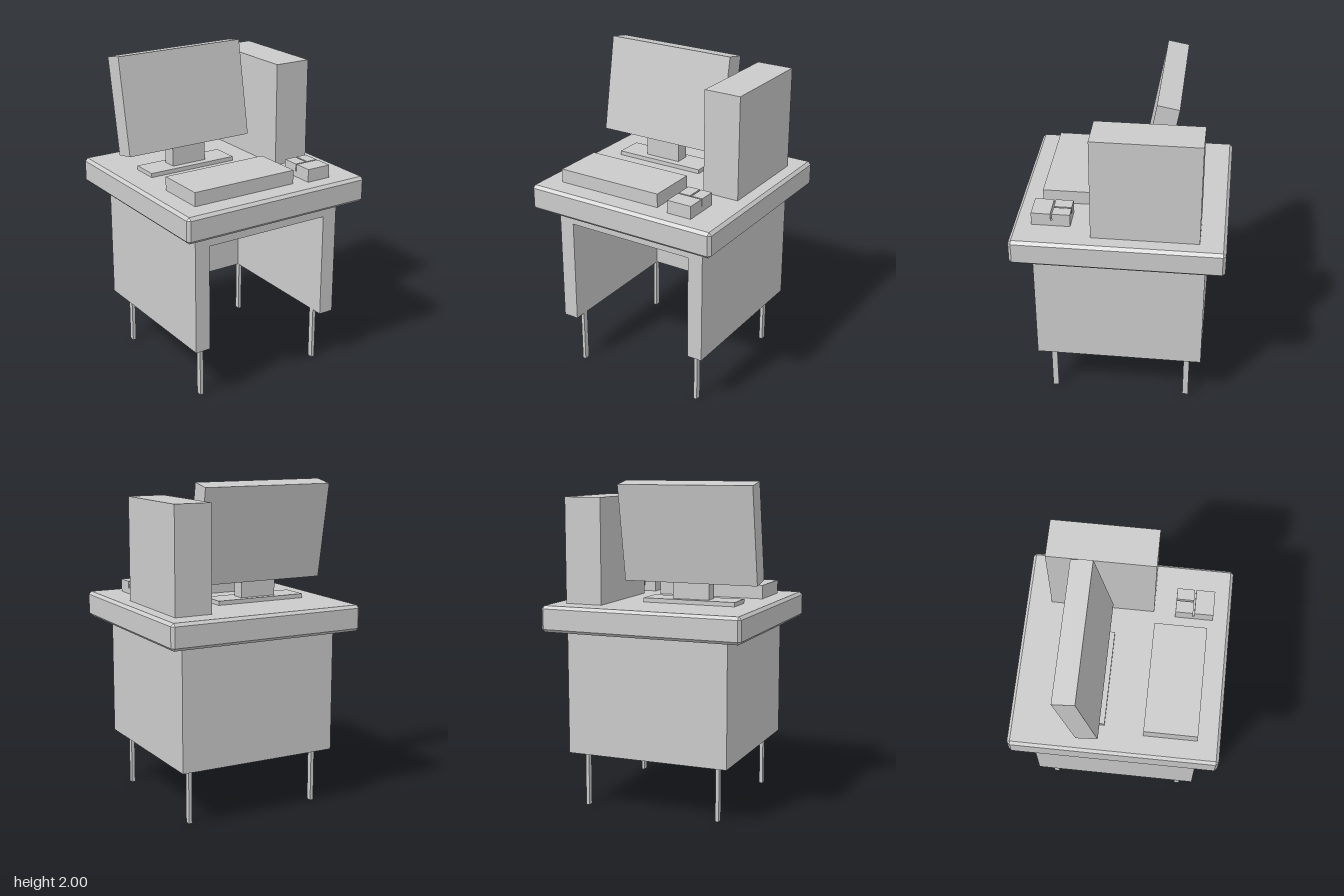
import * as THREE from 'three';
import { ConvexGeometry } from 'three/addons/geometries/ConvexGeometry.js';

const material = new THREE.MeshStandardMaterial({ color: 0xcccccc, flatShading: true });
const TOP = 1.265; // height of the work surface

function add(parent, name, geometry) {
  const mesh = new THREE.Mesh(geometry, material);
  mesh.name = name;
  parent.add(mesh);
  return mesh;
}

// Box given by its extents along each axis
function box(parent, name, [x0, x1], [y0, y1], [z0, z1]) {
  const mesh = add(parent, name, new THREE.BoxGeometry(x1 - x0, y1 - y0, z1 - z0));
  mesh.position.set((x0 + x1) / 2, (y0 + y1) / 2, (z0 + z1) / 2);
  return mesh;
}

function subgroup(parent, name) {
  const group = new THREE.Group();
  group.name = name;
  parent.add(group);
  return group;
}

// Box with every edge cut by a flat chamfer
function chamferedBox(w, h, d, c) {
  const points = [];
  const [x, y, z] = [w / 2, h / 2, d / 2];
  for (const sx of [-1, 1]) for (const sy of [-1, 1]) for (const sz of [-1, 1]) {
    points.push(
      new THREE.Vector3(sx * x, sy * (y - c), sz * (z - c)),
      new THREE.Vector3(sx * (x - c), sy * y, sz * (z - c)),
      new THREE.Vector3(sx * (x - c), sy * (y - c), sz * z));
  }
  return new ConvexGeometry(points);
}

export function createModel() {
  const model = new THREE.Group();
  model.name = 'computerDesk';

  // Desk: chamfered top, cabinet with an open knee space, thin legs
  const desk = subgroup(model, 'desk');
  add(desk, 'deskTop', chamferedBox(1.26, 0.16, 1.26, 0.018)).position.y = TOP - 0.08;

  const arch = new THREE.Shape([
    [-0.512, 0.345], [-0.415, 0.345], [-0.415, 1.01], [0.415, 1.01],
    [0.415, 0.345], [0.512, 0.345], [0.512, 1.106], [-0.512, 1.106],
  ].map(([x, y]) => new THREE.Vector2(x, y)));
  const cabinet = new THREE.ExtrudeGeometry(arch, { depth: 0.922, bevelEnabled: false });
  add(desk, 'cabinet', cabinet).position.z = -0.41;
  box(desk, 'backPanel', [-0.512, 0.512], [0.345, 1.106], [-0.512, -0.41]);

  for (const sx of [-1, 1]) for (const sz of [-1, 1]) {
    const leg = box(desk, 'leg', [-0.011, 0.011], [0, 0.36], [-0.018, 0.018]);
    leg.position.x = sx * 0.428;
    leg.position.z = sz * 0.421;
  }

  // Monitor: leaning screen on a neck and flat foot
  const monitor = subgroup(model, 'monitor');
  const screen = add(monitor, 'screen', new THREE.BoxGeometry(0.852, 0.597, 0.132));
  screen.position.set(-0.164, 1.695, -0.205);
  screen.rotation.x = -0.18;
  box(monitor, 'neck', [-0.28, -0.048], [TOP, 1.45], [-0.2, -0.11]);
  box(monitor, 'foot', [-0.458, 0.131], [TOP, TOP + 0.026], [-0.24, -0.064]);

  // Computer tower and keyboard
  box(model, 'tower', [0.302, 0.536], [TOP, 1.905], [-0.475, 0.16]);
  box(model, 'keyboard', [-0.498, 0.192], [TOP, 1.35], [0.17, 0.491]);

  // Mouse: base, palm rest and two buttons separated by grooves
  const mouse = subgroup(model, 'mouse');
  box(mouse, 'mouseBase', [0.28, 0.438], [TOP, 1.3], [0.291, 0.522]);
  box(mouse, 'palmRest', [0.28, 0.438], [1.3, 1.345], [0.407, 0.522]);
  box(mouse, 'leftButton', [0.28, 0.356], [1.3, 1.345], [0.291, 0.398]);
  box(mouse, 'rightButton', [0.366, 0.438], [1.3, 1.345], [0.291, 0.398]);

  return model;
}
